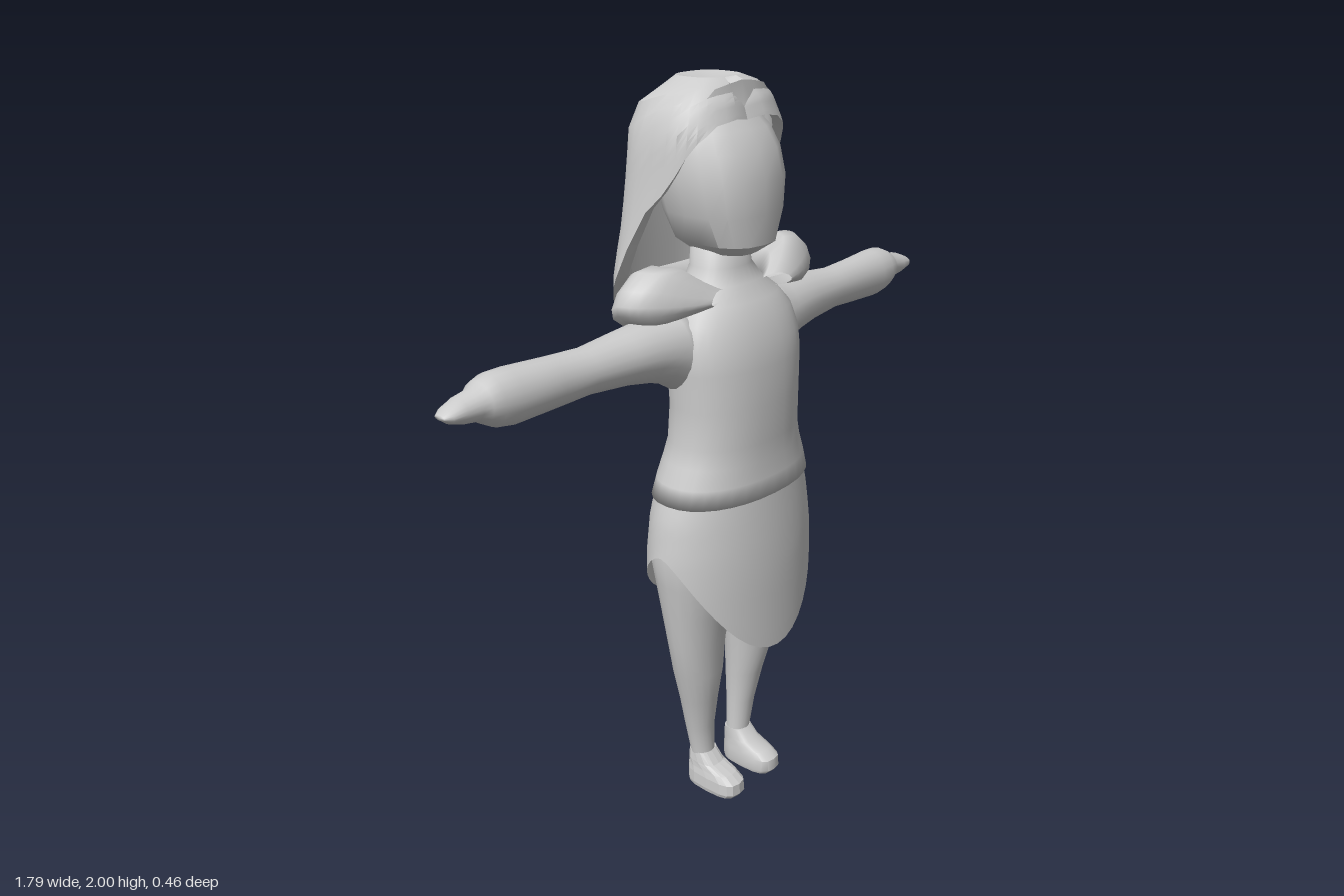
import * as THREE from 'three';
import { toCreasedNormals } from 'three/addons/utils/BufferGeometryUtils.js';

// Surface from closed rings, listed from bottom to top: point(u angle, row) -> [x, y, z]
function rings(cols, rows, point) {
  const pos = [], idx = [];
  for (let i = 0; i < rows; i++) {
    for (let j = 0; j < cols; j++) pos.push(...point((j / cols) * Math.PI * 2, i));
  }
  for (let i = 0; i < rows - 1; i++) {
    for (let j = 0; j < cols; j++) {
      const k = (j + 1) % cols;
      const a = i * cols + j, b = i * cols + k, c = b + cols, d = a + cols;
      idx.push(a, b, c, a, c, d);
    }
  }
  const g = new THREE.BufferGeometry();
  g.setAttribute('position', new THREE.Float32BufferAttribute(pos, 3));
  g.setIndex(idx);
  g.computeVertexNormals();
  return g;
}

const soft = (v, p) => Math.sign(v) * Math.abs(v) ** p;

// One ring point inside the bounds [y, x0, x1, zFront, zBack]
function onRing([y, x0, x1, zf, zb], a, p = 1) {
  return [
    (x0 + x1) / 2 + ((x1 - x0) / 2) * soft(Math.sin(a), p),
    y,
    (zf + zb) / 2 + ((zf - zb) / 2) * soft(Math.cos(a), p),
  ];
}

// Loft through bounds, closed at both ends
function loft(sections, cols, p = 1) {
  const end = ([y, x0, x1, f, b]) => [y, (x0 + x1) / 2, (x0 + x1) / 2, (f + b) / 2, (f + b) / 2];
  const s = [end(sections[0]), ...sections, end(sections[sections.length - 1])];
  return rings(cols, s.length, (a, i) => onRing(s[i], a, p));
}

// Symmetric sections written as [y, halfWidth, zFront, zBack]
const even = (list) => list.map(([y, r, f, b]) => [y, -r, r, f, b]);

// Linear lookup in rows sorted by their first value
function lookup(table, t) {
  let i = 0;
  while (i < table.length - 2 && t > table[i + 1][0]) i++;
  const A = table[i], B = table[i + 1];
  const k = THREE.MathUtils.clamp((t - A[0]) / (B[0] - A[0]), 0, 1);
  return A.map((v, n) => v + (B[n] - v) * k);
}

function mirrored(g) {
  const m = g.clone().scale(-1, 1, 1);
  const ix = m.index.array;
  for (let i = 0; i < ix.length; i += 3) [ix[i + 1], ix[i + 2]] = [ix[i + 2], ix[i + 1]];
  m.computeVertexNormals();
  return m;
}

export function createModel() {
  const model = new THREE.Group();
  const grey = new THREE.MeshStandardMaterial({ color: 0xcccccc, side: THREE.DoubleSide });
  grey.name = 'plain grey';

  const add = (name, g) => {
    const m = new THREE.Mesh(g, grey);
    m.name = name;
    model.add(m);
  };
  const addPair = (name, g) => {
    add('left' + name, g);
    add('right' + name, mirrored(g));
  };

  // Torso and neck
  add('torso', loft(even([
    [0.95, 0.253, 0.211, -0.097], [1.0, 0.239, 0.205, -0.087], [1.05, 0.218, 0.201, -0.077],
    [1.1, 0.203, 0.2, -0.067], [1.2, 0.2, 0.202, -0.06], [1.3, 0.21, 0.196, -0.058],
    [1.36, 0.21, 0.186, -0.058], [1.42, 0.195, 0.165, -0.06], [1.46, 0.165, 0.14, -0.06],
    [1.5, 0.115, 0.11, -0.055], [1.54, 0.085, 0.09, -0.05], [1.62, 0.075, 0.08, -0.05],
  ]), 32, 0.9));

  // Skirt with long points at front and back, short at the sides
  const skirt = even([
    [0.5, 0.28, 0.23, -0.115], [0.72, 0.282, 0.226, -0.113], [0.8, 0.28, 0.222, -0.111],
    [0.9, 0.267, 0.213, -0.104], [0.96, 0.249, 0.207, -0.093], [1.0, 0.236, 0.203, -0.085],
    [1.05, 0.215, 0.199, -0.075], [1.1, 0.2, 0.198, -0.065],
  ]);
  add('skirt', rings(48, 12, (a, i) => {
    const c = Math.cos(a);
    const hem = 0.81 - (c > 0 ? 0.31 : 0.24) * Math.abs(c) ** 1.7;
    return onRing(lookup(skirt, hem + (1.1 - hem) * (i / 11)), a);
  }));

  // Legs
  addPair('Leg', loft([
    [0.05, 0.04, 0.118, 0.065, -0.014], [0.1, 0.042, 0.114, 0.055, -0.01],
    [0.2, 0.046, 0.135, 0.062, -0.018], [0.3, 0.042, 0.157, 0.08, -0.026],
    [0.4, 0.034, 0.187, 0.1, -0.031], [0.5, 0.024, 0.208, 0.107, -0.036],
    [0.6, 0.014, 0.225, 0.127, -0.05], [0.7, 0.005, 0.24, 0.15, -0.068],
    [0.8, -0.005, 0.255, 0.17, -0.085], [0.92, -0.02, 0.235, 0.18, -0.085],
  ], 20));

  // Feet, sloping from the ankle down to the toes
  addPair('Foot', toCreasedNormals(loft([
    [0, 0.036, 0.122, 0.155, -0.013], [0.012, 0.033, 0.125, 0.165, -0.016],
    [0.045, 0.035, 0.124, 0.163, -0.016], [0.063, 0.038, 0.12, 0.135, -0.015],
    [0.08, 0.04, 0.118, 0.085, -0.013], [0.11, 0.042, 0.114, 0.055, -0.01],
  ], 16, 0.65), 0.7).clone().setIndex([...Array(16 * 7 * 6).keys()]));

  // Arms: lofted along y as [reach, -top, -bottom, zFront, zBack], then laid along x
  const arm = [
    [0.14, 1.46, 1.24, 0.11, -0.05], [0.2, 1.45, 1.25, 0.105, -0.055],
    [0.24, 1.445, 1.275, 0.1, -0.06], [0.29, 1.445, 1.29, 0.095, -0.062],
    [0.36, 1.437, 1.302, 0.085, -0.058], [0.48, 1.425, 1.31, 0.066, -0.046],
    [0.58, 1.428, 1.303, 0.06, -0.052], [0.7, 1.432, 1.295, 0.055, -0.068],
    [0.75, 1.43, 1.302, 0.05, -0.07], [0.78, 1.418, 1.318, 0.042, -0.064],
    [0.8, 1.405, 1.33, 0.032, -0.05], [0.84, 1.398, 1.336, 0.03, -0.045],
    [0.875, 1.384, 1.347, 0.024, -0.036], [0.893, 1.372, 1.36, 0.012, -0.022],
  ].map(([x, top, low, f, b]) => [x, -top, -low, f, b]);
  addPair('Arm', loft(arm, 20).rotateZ(-Math.PI / 2));

  // Head with a flat face and tapering chin
  add('head', toCreasedNormals(loft(even([
    [1.575, 0.06, 0.12, -0.06], [1.605, 0.105, 0.163, -0.09], [1.68, 0.14, 0.166, -0.11],
    [1.76, 0.155, 0.164, -0.13], [1.83, 0.154, 0.145, -0.14], [1.88, 0.14, 0.115, -0.13],
    [1.93, 0.1, 0.07, -0.1],
  ]), 16, 0.75), 0.6));

  // Shoulder collar: a padded band around the back, open and tapering at the front
  const band = [[0.55, 1.45], [0.9, 1.445], [0.99, 1.47], [1, 1.495], [0.95, 1.53],
    [0.82, 1.567], [0.66, 1.572], [0.5, 1.54], [0.38, 1.5]];
  add('shoulderCollar', rings(band.length, 41, (u, i) => {
    const [f, h] = band[Math.round((u / (Math.PI * 2)) * band.length)];
    const a = 0.42 + (i / 40) * (Math.PI * 2 - 0.84);
    const s = Math.sin(a), c = Math.cos(a);
    const thick = Math.min(1, 0.25 + Math.min(i, 40 - i) / 6);
    const z = 0.005 + 0.135 * c * (c > 0 ? 0.5 + 0.5 * f : f);
    const x = 0.352 * soft(s, 0.9) * f;
    return [x, 1.48 + (h - 1.48) * thick + 0.5 * Math.min(0, z), z];
  }));

  // Hair: one shell whose lower edge frames the face and falls to a rounded back
  const shape = even([
    [1.33, 0.235, 0.1, -0.226], [1.52, 0.245, 0.1, -0.205], [1.65, 0.218, 0.11, -0.193],
    [1.78, 0.203, 0.125, -0.186], [1.88, 0.195, 0.128, -0.18], [1.95, 0.165, 0.105, -0.155],
    [1.985, 0.12, 0.08, -0.125], [2.0, 0.075, 0.05, -0.09],
  ]);
  const edge = [[0, 1.915], [30, 1.9], [55, 1.85], [75, 1.76], [92, 1.68], [106, 1.53],
    [125, 1.47], [148, 1.38], [165, 1.345], [180, 1.33]];
  add('hair', toCreasedNormals(rings(36, 13, (a, i) => {
    const deg = THREE.MathUtils.radToDeg(a);
    const t = Math.min(deg, 360 - deg);
    const low = lookup(edge, t)[1];
    if (i === 12) return [0, 1.985, -0.02];
    // The first two rows turn inward to give the edge its thickness
    const k = Math.max(0, i - 2) / 9;
    const p = onRing(lookup(shape, low + (2 - low) * k), a, 0.72);
    if (i < 2) {
      const inset = i === 0 ? 0.8 : 0.86;
      p[0] *= inset;
      p[2] = -0.03 + (p[2] + 0.03) * inset;
      p[1] += i === 0 ? 0.08 : 0.008;
    }
    // Centre parting
    if (t < 1 && i > 1) { p[1] -= 0.012; p[2] -= 0.012; }
    return p;
  }), 0.5));

  return model;
}
